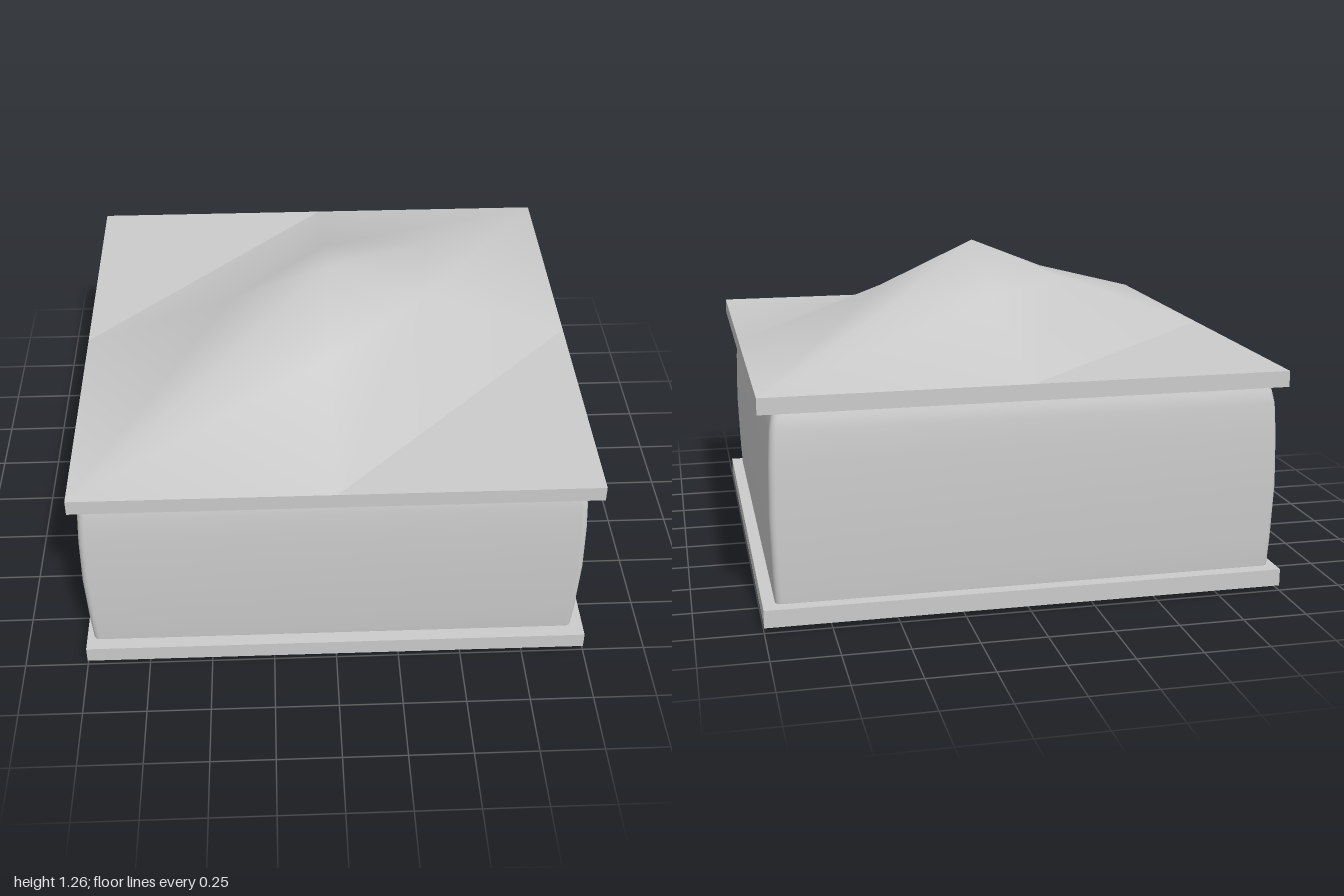
import * as THREE from 'three';
import { mergeVertices } from 'three/addons/utils/BufferGeometryUtils.js';

const material = new THREE.MeshStandardMaterial({ color: 0xcccccc });

function addMesh(group, name, geometry) {
  const mesh = new THREE.Mesh(geometry, material);
  mesh.name = name;
  group.add(mesh);
  return mesh;
}

function smooth(positions, index) {
  let g = new THREE.BufferGeometry();
  g.setAttribute('position', new THREE.Float32BufferAttribute(positions, 3));
  g.setIndex(index);
  g = mergeVertices(g);
  g.computeVertexNormals();
  return g;
}

// Square ring with rounded corners, ordered from +x towards +z
const ARC = 6;
const RING = 4 * (ARC + 1);
function ring({ y, hx, hz, r }) {
  const out = [];
  for (let c = 0; c < 4; c++) {
    const sx = c === 0 || c === 3 ? 1 : -1;
    const sz = c < 2 ? 1 : -1;
    for (let k = 0; k <= ARC; k++) {
      const a = (c + k / ARC) * Math.PI / 2;
      out.push(sx * (hx - r) + r * Math.cos(a), y, sz * (hz - r) + r * Math.sin(a));
    }
  }
  return out;
}

// Skin through a stack of rings from bottom to top, closed underneath
function loft(sections) {
  const positions = [...sections.flatMap(ring), 0, sections[0].y, 0];
  const center = sections.length * RING;
  const index = [];
  for (let j = 0; j < RING; j++) {
    const next = (j + 1) % RING;
    index.push(center, j, next);
    for (let i = 0; i < sections.length - 1; i++) {
      const a = i * RING + j, b = i * RING + next;
      index.push(a, a + RING, b, b, a + RING, b + RING);
    }
  }
  return smooth(positions, index);
}

// Peaked top: two opposite quarters rise along a hip to the corner,
// the other two fall from ridge to ridge and leave the corner flat
function peakedTop() {
  const base = 0.88;
  // x, height, z, z shift
  const points = {
    O: [0, 0.385, 0, 0.06],
    A: [0.4, 0.21, 0, 0.03],
    B: [0, 0.21, 0.4, 0.03],
    D: [0.4, 0.205, 0.4, 0.03],
    M: [1, 0, 0, 0],
    N: [0, 0, 1, 0],
    C: [1, 0, 1, 0],
  };
  const hipped = ['OAD', 'AMC', 'ACD', 'DCB', 'BCN', 'ODB'];
  const sloped = ['OAB', 'AMN', 'ANB', 'MCN'];
  const positions = [];
  for (const sx of [1, -1]) {
    for (const sz of [1, -1]) {
      const mirrored = sx * sz < 0;
      for (const triangle of mirrored ? hipped : sloped) {
        const corners = [...triangle].map((key) => points[key]);
        if (!mirrored) corners.reverse();
        for (const [x, h, z, shift] of corners) positions.push(sx * x, base + h, sz * z + shift);
      }
    }
  }
  return smooth(positions, [...Array(positions.length / 3).keys()]);
}

export function createModel() {
  const group = new THREE.Group();
  group.name = 'peakedBox';

  // Gently bulging body
  const profile = [
    [0.05, 0.958], [0.09, 0.963], [0.2, 0.969], [0.42, 0.976],
    [0.62, 0.972], [0.74, 0.965], [0.79, 0.955], [0.84, 0.94],
  ];
  const body = addMesh(group, 'body', loft(
    profile.map(([y, h]) => ({ y, hx: h, hz: h - 0.015, r: 0.025 }))));
  body.position.x = -0.01;

  // Shallow foot with softened corners
  const foot = addMesh(group, 'foot', loft([
    { y: 0, hx: 0.945, hz: 0.937, r: 0.1 },
    { y: 0.03, hx: 0.95, hz: 0.94, r: 0.03 },
  ]));
  foot.position.x = -0.013;

  // Square bands below and above the body
  for (const [name, y0, y1] of [['lowerBand', 0.02, 0.087], ['upperBand', 0.818, 0.88]]) {
    addMesh(group, name, new THREE.BoxGeometry(2, y1 - y0, 2)).position.y = (y0 + y1) / 2;
  }

  addMesh(group, 'peakedTop', peakedTop());
  return group;
}
